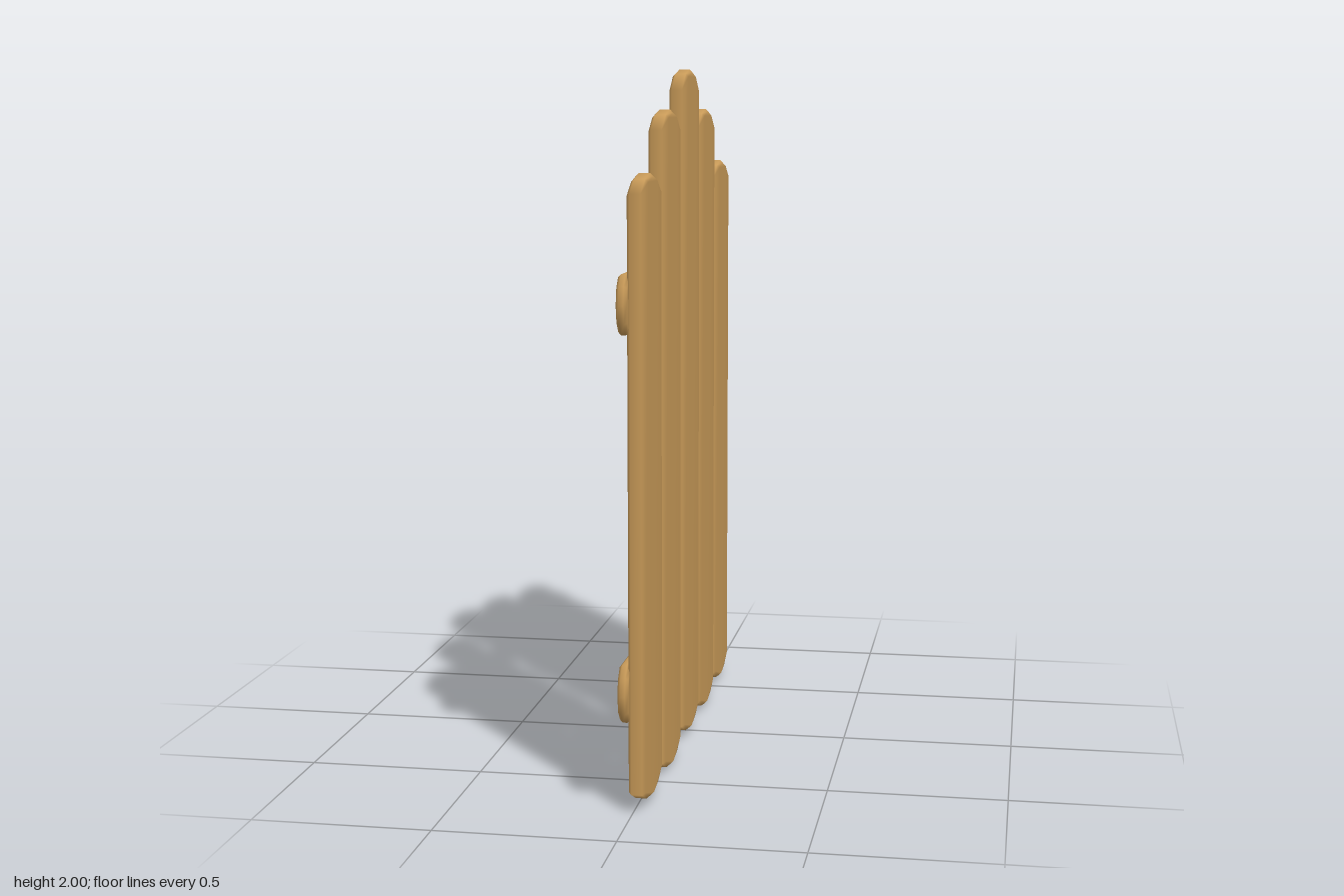
import * as THREE from 'three';
import { mergeVertices } from 'three/addons/utils/BufferGeometryUtils.js';

const wood = new THREE.MeshStandardMaterial({ color: 0xc89a58 });
wood.name = 'wood';

// Board with softly rounded ends: outline in the z/y plane, thickness along x from x0 to x1
function board(name, outline, x0, x1) {
  const bevel = 0.008;
  const shape = new THREE.Shape(outline.map(([u, v]) => new THREE.Vector2(u, v)));
  let geo = new THREE.ExtrudeGeometry(shape, {
    depth: x1 - x0 - 2 * bevel,
    bevelThickness: bevel, bevelSize: bevel, bevelOffset: -bevel, bevelSegments: 1,
  });
  geo.translate(0, 0, x0 + bevel);
  geo.rotateY(Math.PI / 2);
  // Shared vertices give the soft, worn shading
  geo.deleteAttribute('normal');
  geo.deleteAttribute('uv');
  geo = mergeVertices(geo, 1e-4);
  geo.computeVertexNormals();
  const mesh = new THREE.Mesh(geo, wood);
  mesh.name = name;
  return mesh;
}

export function createModel() {
  const group = new THREE.Group();
  group.name = 'picketFence';

  // Upright planks: [z centre, bottom, top, shoulder drop]
  const planks = [
    [0.645, 0.01, 1.72, 0.05],
    [0.335, 0, 1.885, 0.055],
    [0.005, 0.01, 2, 0.06],
    [-0.295, 0, 1.885, 0.055],
    [-0.6, 0.01, 1.72, 0.05],
  ];
  const w = 0.135, m = 0.07;
  planks.forEach(([z, lo, hi, d], i) => {
    const plank = board('plank' + (i + 1), [
      [-w, lo + 0.042], [-m, lo + 0.012], [0, lo], [m, lo + 0.012], [w, lo + 0.042],
      [w, hi - d], [m, hi - 0.014], [0, hi], [-m, hi - 0.014], [-w, hi - d],
    ], -0.012, 0.034);
    plank.position.z = z;
    group.add(plank);
  });

  // Cross rails behind the planks
  [['lowerRail', 0.33], ['upperRail', 1.38]].forEach(([name, y]) => {
    const rail = board(name, [
      [-0.77, -0.08], [0.77, -0.08], [0.797, -0.05], [0.808, 0], [0.797, 0.05],
      [0.77, 0.08], [-0.77, 0.08], [-0.797, 0.05], [-0.808, 0], [-0.797, -0.05],
    ], -0.037, -0.008);
    rail.position.y = y;
    group.add(rail);
  });

  return group;
}
